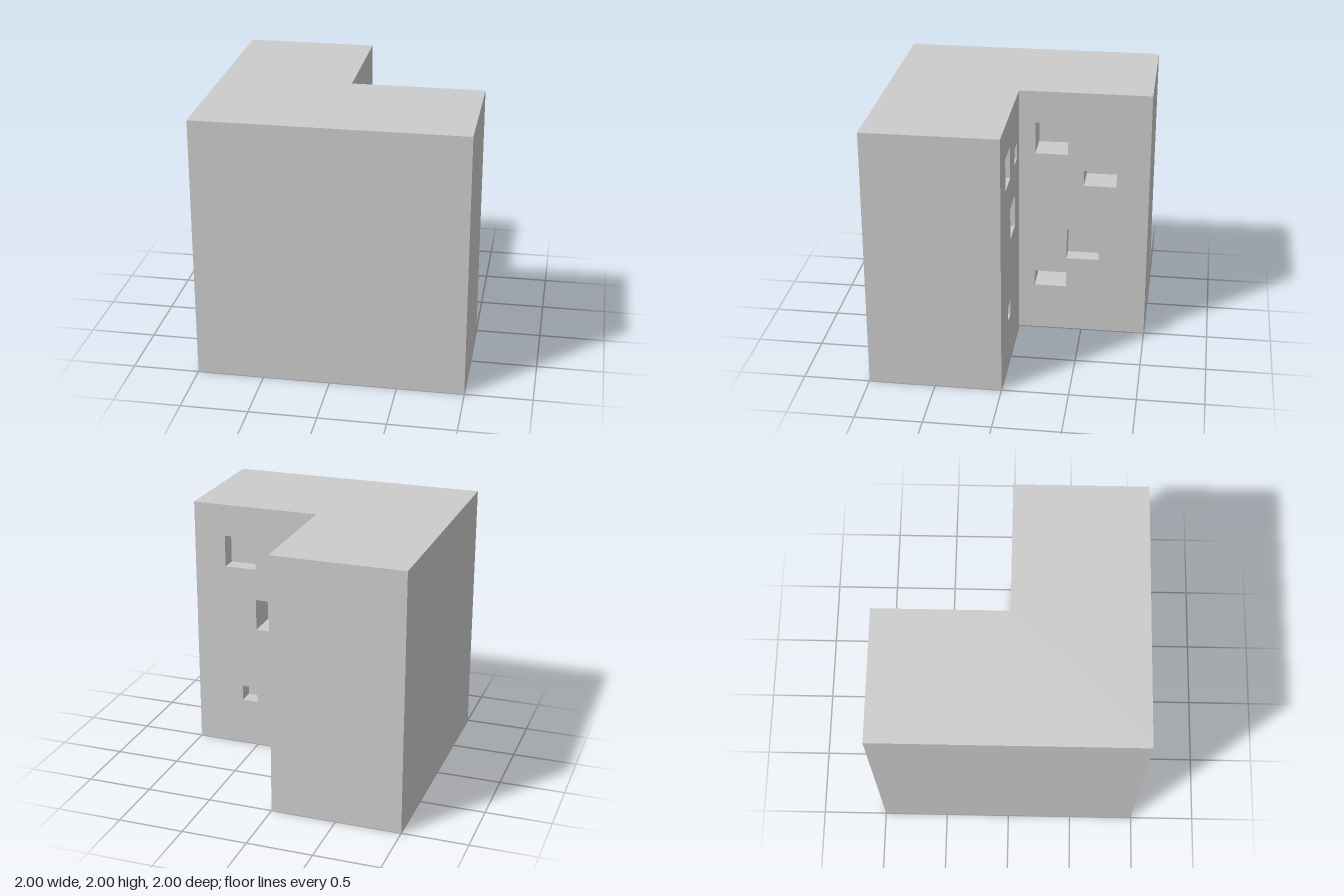
import * as THREE from 'three';

const grey = new THREE.MeshStandardMaterial({ color: 0xcccccc });

function named(geometry, name) {
  const mesh = new THREE.Mesh(geometry, grey);
  mesh.name = name;
  return mesh;
}

const polygon = (points) => new THREE.Shape(points.map(([x, y]) => new THREE.Vector2(x, y)));
const rect = (u, v, w, h) => [[u, v], [u + w, v], [u + w, v + h], [u, v + h]];

// Inside of a box recess, open towards +z
function pocketGeometry([u, v, w, h, d]) {
  const geo = new THREE.BoxGeometry(w, h, d);
  const index = Array.from(geo.index.array);
  index.splice(24, 6); // drop the open face
  geo.setIndex(index.reverse()); // faces look inwards
  geo.clearGroups();
  geo.computeVertexNormals();
  return geo.translate(u + w / 2, v + h / 2, -d / 2);
}

// Upright wall, drawn facing +z, then turned about y and moved into place
function wall(name, u0, u1, turn, x, z, pockets = []) {
  const group = new THREE.Group();
  group.name = name;
  const shape = polygon(rect(u0, 0, u1 - u0, 2));
  for (const [u, v, w, h] of pockets) {
    shape.holes.push(polygon(rect(u, v, w, h)));
  }
  group.add(named(new THREE.ShapeGeometry(shape), name + 'Face'));
  pockets.forEach((p, i) => group.add(named(pocketGeometry(p), name + 'Recess' + (i + 1))));
  group.rotation.y = turn;
  group.position.set(x, 0, z);
  return group;
}

export function createModel() {
  const model = new THREE.Group();
  model.name = 'cornerBlock';
  const Q = Math.PI / 2;

  // Plain outer walls
  model.add(
    wall('frontWall', -1, 1, 0, 0, 1),
    wall('rightWall', -1, 1, -Q, -1, 0),
    wall('leftWall', -1, 0, Q, 1, 0),
    wall('backWall', 0, 1, Math.PI, 0, -1),
  );

  // Inner corner walls with recesses: [u, v, width, height, depth]
  model.add(
    wall('innerBackWall', -1, 0, Math.PI, 0, 0, [
      [-0.75, 1.5, 0.25, 0.25, 0.125],
      [-0.25, 1.5, 0.125, 0.125, 0.125],
      [-0.5, 1, 0.25, 0.25, 0.25],
      [-0.625, 0.375, 0.125, 0.125, 0.125],
    ]),
    wall('innerSideWall', 0, 1, Q, 0, 0, [
      [0.125, 1.5, 0.25, 0.25, 0.25],
      [0.5, 1.25, 0.25, 0.125, 0.25],
      [0.375, 0.625, 0.25, 0.25, 0.125],
      [0.125, 0.375, 0.25, 0.125, 0.25],
    ]),
  );

  // L-shaped top and base
  const plan = [[-1, 1], [1, 1], [1, 0], [0, 0], [0, -1], [-1, -1]];
  const top = named(new THREE.ShapeGeometry(polygon(plan.map(([x, z]) => [x, -z]))), 'top');
  top.rotation.x = -Q;
  top.position.y = 2;
  const base = named(new THREE.ShapeGeometry(polygon(plan)), 'base');
  base.rotation.x = Q;
  model.add(top, base);

  return model;
}
